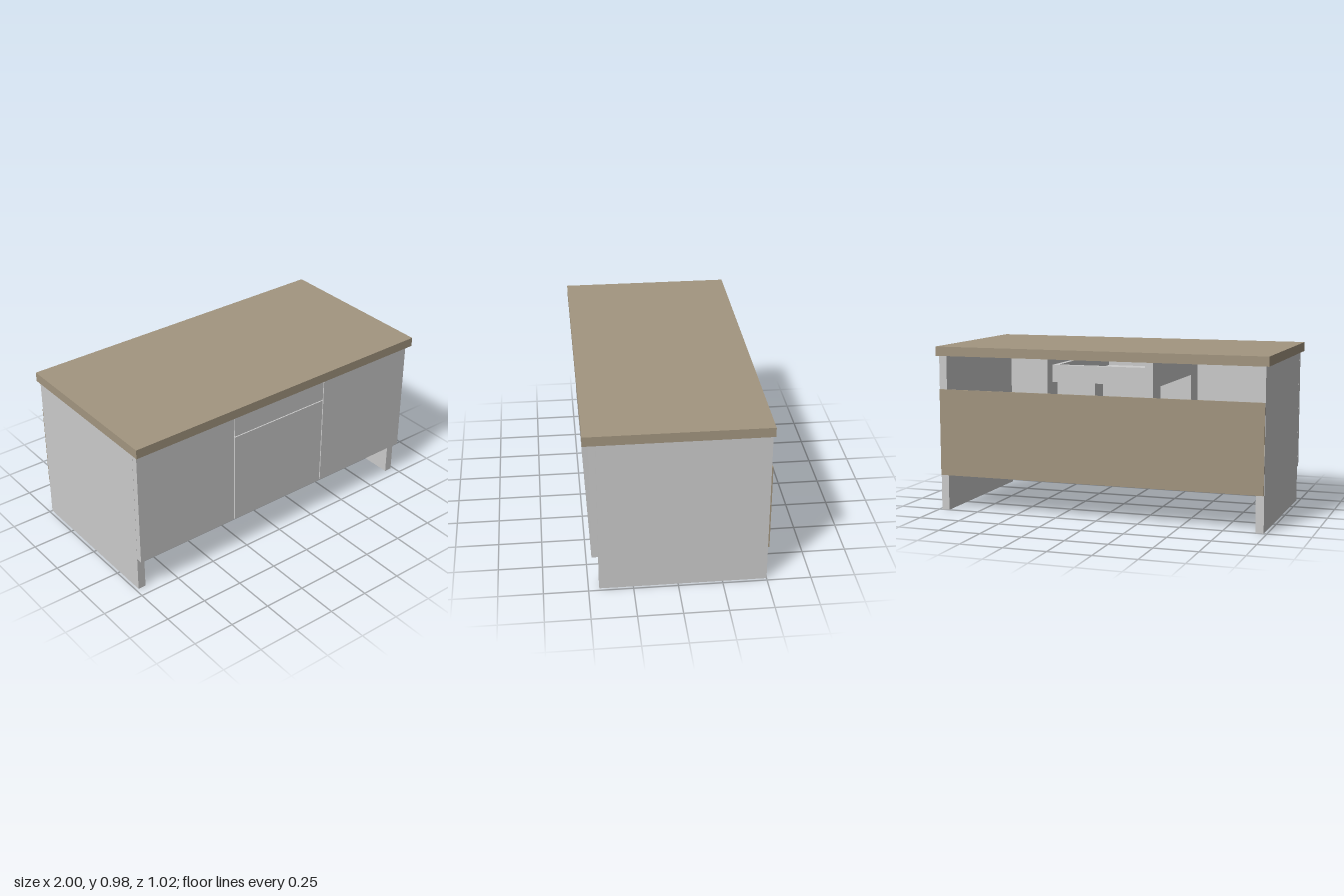
import * as THREE from 'three';

export function createModel() {
  const group = new THREE.Group();
  const grey = new THREE.MeshStandardMaterial({ color: 0xcccccc });
  const wood = new THREE.MeshStandardMaterial({ color: 0xa39680 });

  // Box given by its limits on each axis
  function panel(name, [x0, x1], [y0, y1], [z0, z1], material = grey) {
    const mesh = new THREE.Mesh(new THREE.BoxGeometry(x1 - x0, y1 - y0, z1 - z0), material);
    mesh.position.set((x0 + x1) / 2, (y0 + y1) / 2, (z0 + z1) / 2);
    mesh.name = name;
    group.add(mesh);
  }

  const front = 0.44, back = -0.5, depth = [back, front];
  const doorZ = [front + 0.001, 0.478];
  const gap = 0.003, split = 0.327, underTop = 0.925;

  // Worktop and low back panel
  panel('worktop', [-1, 1], [underTop, 0.98], [-0.51, 0.51], wood);
  panel('backPanel', [-0.98, 0.98], [0.212, 0.727], [-0.508, back], wood);

  // Horizontal boards
  panel('bottomBoard', [-0.935, 0.935], [0.212, 0.26], depth);
  panel('middleShelf', [-0.935, 0.935], [0.522, 0.567], depth);

  // Mirrored uprights, doors and drawer sides
  for (const [side, s] of [['left', 1], ['right', -1]]) {
    const mx = (a, b) => (s > 0 ? [a, b] : [-b, -a]);
    panel(side + 'SidePanel', mx(0.935, 0.982), [0, underTop], depth);
    panel(side + 'DividerRail', mx(0.293, 0.34), [0.777, underTop], depth);
    for (const [y0, y1] of [[0.26, 0.522], [0.567, 0.777]]) {
      panel(side + 'RearPost', mx(0.293, 0.34), [y0, y1], [back, back + 0.15]);
      panel(side + 'FrontPost', mx(0.293, 0.34), [y0, y1], [front - 0.15, front]);
    }
    panel(side + 'Door', mx(split + gap, 0.982), [0.212, 0.923], doorZ);
    panel(side + 'DrawerSide', mx(0.25, 0.28), [0.79, 0.89], [-0.455, front]);
  }

  // Centre drawer and the door below it
  panel('drawerFront', [-split + gap, split - gap], [0.781, 0.923], doorZ);
  panel('centreDoor', [-split + gap, split - gap], [0.212, 0.775], doorZ);
  panel('drawerBack', [-0.25, 0.25], [0.79, 0.89], [-0.455, -0.425]);
  panel('drawerBase', [-0.25, 0.25], [0.79, 0.805], [-0.425, front]);

  return group;
}
